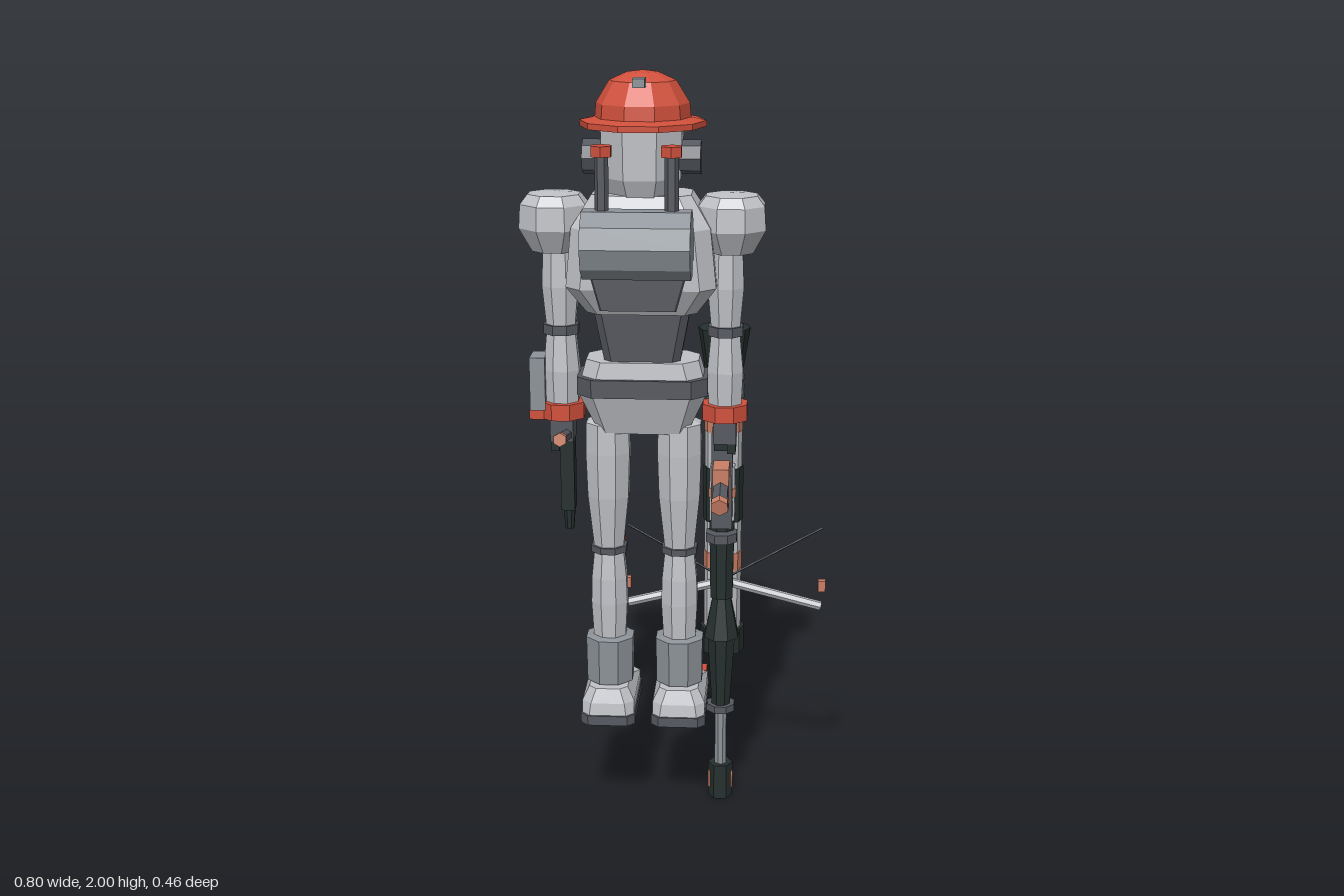
import * as THREE from 'three';

const mat = (name, color) => {
  const m = new THREE.MeshStandardMaterial({ color, flatShading: true });
  m.name = name;
  return m;
};

export function createModel() {
  const light = mat('lightGrey', 0xc0c2c7), grey = mat('midGrey', 0x8d9399), dark = mat('darkGrey', 0x565960);
  const red = mat('red', 0xd0503c), copper = mat('copper', 0xc97f66), black = mat('blackGreen', 0x25302e);
  const root = new THREE.Group();
  root.name = 'robotSoldier';
  const CX = -0.087, CZ = -0.045;

  const add = (name, geo, m, x = 0, y = 0, z = 0, parent = root) => {
    const mesh = new THREE.Mesh(geo, m);
    mesh.name = name;
    mesh.position.set(x, y, z);
    parent.add(mesh);
    return mesh;
  };
  const box = (name, m, w, h, d, x, y, z) => add(name, new THREE.BoxGeometry(w, h, d), m, x, y, z);
  // Upright faceted turning; profile is [radius, y] from bottom to top
  const turn = (name, m, pts, x, z, sides = 8, yaw = Math.PI / 8) => {
    const g = new THREE.LatheGeometry(pts.map(p => new THREE.Vector2(p[0], p[1])), sides);
    g.rotateY(yaw);
    return add(name, g, m, x, 0, z);
  };
  // Upright capped cylinder between two heights
  const post = (name, m, r0, r1, y0, y1, x, z, sides = 8) => {
    const g = new THREE.CylinderGeometry(r1, r0, y1 - y0, sides);
    g.rotateY(Math.PI / sides);
    return add(name, g, m, x, (y0 + y1) / 2, z);
  };
  // Bar between two points
  const bar = (name, m, a, b, r, sides = 6) => {
    const p = new THREE.Vector3(...a), q = new THREE.Vector3(...b), d = q.clone().sub(p);
    const mesh = add(name, new THREE.CylinderGeometry(r, r, d.length(), sides), m);
    mesh.position.copy(p).add(q).multiplyScalar(0.5);
    mesh.quaternion.setFromUnitVectors(new THREE.Vector3(0, 1, 0), d.normalize());
    return mesh;
  };
  // Stack of chamfered rectangles: [y, halfWidth, backZ, frontZ, chamfer]
  const loft = (name, m, rows, x = 0) => {
    const rings = rows.map(([y, w, z0, z1, c]) => [
      [w, z0 + c], [w, z1 - c], [w - c, z1], [c - w, z1], [-w, z1 - c], [-w, z0 + c], [c - w, z0], [w - c, z0],
    ].map(([px, pz]) => [px, y, pz]));
    const pos = [];
    const tri = (...v) => v.forEach(p => pos.push(...p));
    for (let r = 0; r < rings.length - 1; r++) for (let i = 0; i < 8; i++) {
      const j = (i + 1) % 8, lo = rings[r], hi = rings[r + 1];
      tri(lo[i], hi[i], lo[j]);
      tri(lo[j], hi[i], hi[j]);
    }
    const top = rings[rings.length - 1], bot = rings[0];
    for (let i = 1; i < 7; i++) {
      tri(top[0], top[i + 1], top[i]);
      tri(bot[0], bot[i], bot[i + 1]);
    }
    const g = new THREE.BufferGeometry();
    g.setAttribute('position', new THREE.Float32BufferAttribute(pos, 3));
    g.computeVertexNormals();
    return add(name, g, m, x);
  };

  // Helmet
  turn('helmetBrim', red, [[0, 1.865], [0.16, 1.862], [0.16, 1.877], [0.12, 1.885]], CX, -0.064, 10, Math.PI / 10 * 5);
  turn('helmetDome', red, [[0.122, 1.875], [0.118, 1.92], [0.084, 1.975], [0.04, 1.995], [0, 2]], CX, -0.064, 10, Math.PI / 2);
  for (const s of [-1, 1]) box('helmetClip', grey, 0.03, 0.022, 0.046, CX, 1.978, -0.046 + s * 0.092);

  // Head
  turn('head', light, [[0, 1.68], [0.085, 1.69], [0.107, 1.74], [0.11, 1.87], [0, 1.87]], CX, CZ);
  for (const s of [-1, 1]) {
    const x = CX + s * 0.122;
    bar('earPiece', dark, [x - 0.026, 1.79, -0.03], [x + 0.026, 1.79, -0.03], 0.043, 8);
  }
  bar('eyeHousing', dark, [CX, 1.792, -0.12], [CX, 1.792, -0.195], 0.052, 10);
  bar('eyeLens', copper, [CX, 1.792, -0.19], [CX, 1.792, -0.2], 0.038, 10);

  // Torso
  loft('chest', light, [[1.4, 0.14, -0.12, 0.035, 0.03], [1.47, 0.19, -0.155, 0.075, 0.04],
    [1.62, 0.175, -0.16, 0.075, 0.04], [1.7, 0.125, -0.125, 0.035, 0.03]], CX);
  loft('abdomen', dark, [[1.26, 0.095, -0.11, 0.02, 0.02], [1.42, 0.125, -0.125, 0.03, 0.02]], CX);
  loft('waist', light, [[1.2, 0.165, -0.13, 0.045, 0.04], [1.275, 0.145, -0.12, 0.035, 0.04]], CX);
  loft('belt', dark, [[1.185, 0.168, -0.137, 0.052, 0.04], [1.232, 0.168, -0.137, 0.052, 0.04]], CX);
  loft('pelvis', light, [[1.08, 0.115, -0.1, 0.01, 0.02], [1.187, 0.165, -0.13, 0.045, 0.04]], CX);
  box('beltBuckle', red, 0.06, 0.045, 0.02, CX, 1.21, -0.142);
  box('chestBadge', copper, 0.09, 0.035, 0.012, CX, 1.6, -0.162);

  // Striped chest guard
  box('chestGuard', dark, 0.34, 0.065, 0.025, CX, 1.508, -0.166);
  for (let i = 0; i < 8; i++) {
    const g = new THREE.BoxGeometry(0.022, 0.063, 0.008), p = g.attributes.position;
    for (let k = 0; k < p.count; k++) p.setX(k, p.getX(k) - p.getY(k) * 0.4);
    add('guardStripe', g, red, CX - 0.147 + i * 0.042, 1.508, -0.18);
  }

  // Backpack with two aerials
  bar('backpackTank', grey, [-0.22, 1.6, 0.147], [0.047, 1.6, 0.147], 0.087, 10);
  loft('backpackBase', dark, [[1.43, 0.095, 0.05, 0.13, 0.004], [1.52, 0.12, 0.05, 0.13, 0.004], [1.6, 0.12, 0.05, 0.13, 0.004]], CX);
  for (const s of [-1, 1]) {
    post('aerial', dark, 0.017, 0.017, 1.66, 1.82, CX + s * 0.085, 0.143, 6);
    post('aerialCap', red, 0.028, 0.028, 1.812, 1.838, CX + s * 0.085, 0.143, 6).rotation.y = Math.PI / 6;
  }

  for (const s of [-1, 1]) {
    // Arm
    const ax = CX + s * 0.225;
    turn('shoulder', light, [[0, 1.54], [0.06, 1.55], [0.094, 1.61], [0.09, 1.67], [0.07, 1.695], [0, 1.7]], ax, CZ);
    const bx = ax - s * 0.013;
    turn('upperArm', light, [[0, 1.35], [0.04, 1.355], [0.05, 1.46], [0.045, 1.57]], bx, CZ);
    post('elbow', dark, 0.048, 0.048, 1.335, 1.36, bx, CZ);
    turn('forearm', light, [[0, 1.14], [0.045, 1.145], [0.05, 1.24], [0.04, 1.34]], bx, CZ);
    post('cuff', red, 0.062, 0.062, 1.112, 1.155, bx, CZ);
    box('hand', dark, 0.06, 0.06, 0.08, bx, 1.082, CZ);
    for (let i = 0; i < 3; i++) box('finger', black, 0.022, 0.05, 0.02, bx + s * 0.018, 1.05, CZ - 0.025 + i * 0.026);

    // Leg
    const lx = CX + s * 0.094;
    turn('thigh', light, [[0, 0.75], [0.042, 0.755], [0.058, 0.9], [0.062, 1.02], [0.06, 1.1], [0, 1.13]], lx, CZ);
    post('knee', dark, 0.05, 0.05, 0.742, 0.76, lx, CZ);
    turn('shin', light, [[0.045, 0.48], [0.052, 0.6], [0.05, 0.67], [0.042, 0.745]], lx, CZ);
    box('kneePlate', red, 0.075, 0.11, 0.025, lx, 0.725, -0.105);
    turn('bootTop', grey, [[0, 0.37], [0.066, 0.375], [0.068, 0.5], [0.045, 0.505]], lx, CZ);
    post('ankle', light, 0.05, 0.045, 0.34, 0.38, lx, CZ);

    // Foot
    const fx = CX + s * 0.095;
    loft('sole', dark, [[0.275, 0.073, -0.222, 0.06, 0.02], [0.302, 0.073, -0.222, 0.06, 0.02]], fx);
    loft('foot', light, [[0.3, 0.07, -0.217, 0.055, 0.02], [0.335, 0.07, -0.21, 0.05, 0.025], [0.372, 0.052, -0.09, 0.035, 0.02]], fx);
    box('toeMark', red, 0.024, 0.04, 0.05, fx + s * 0.055, 0.322, -0.195);
  }

  // Forearm unit
  box('forearmUnit', grey, 0.04, 0.14, 0.08, -0.36, 1.205, CZ);
  box('forearmUnitCuff', red, 0.045, 0.03, 0.07, -0.36, 1.125, CZ);

  // Pistol, muzzle down
  box('pistolSlide', black, 0.036, 0.2, 0.05, -0.287, 0.96, -0.04);
  post('pistolMuzzle', black, 0.012, 0.018, 0.8, 0.87, -0.287, -0.05);
  bar('pistolGrip', dark, [-0.287, 1.065, -0.03], [-0.287, 1.095, 0.115], 0.016);
  bar('pistolGripEnd', copper, [-0.287, 1.093, 0.108], [-0.287, 1.097, 0.133], 0.018);

  // Launcher tube behind the rifle
  const TX = 0.118, TZ = -0.155;
  post('launcherTube', light, 0.05, 0.05, 0.45, 1.25, TX, TZ, 10);
  post('launcherBell', black, 0.05, 0.069, 1.21, 1.33, TX, TZ, 10);
  post('launcherCore', copper, 0.035, 0.035, 1.31, 1.335, TX, TZ, 10);
  for (const y of [1.14, 1.165, 1.19]) post('launcherRing', dark, 0.055, 0.055, y, y + 0.011, TX, TZ, 10);
  for (const y of [1.05, 0.66]) post('launcherBand', copper, 0.052, 0.052, y, y + 0.05, TX, TZ, 10);
  post('launcherSleeve', black, 0.054, 0.054, 0.8, 0.95, TX, TZ, 10);
  post('launcherBase', black, 0.06, 0.06, 0.42, 0.49, TX, TZ, 10);
  post('warhead', copper, 0.012, 0.04, 0.34, 0.42, TX, TZ, 8);

  // Rifle, muzzle down
  const RX = 0.118, RZ = -0.098;
  box('receiver', dark, 0.055, 0.26, 0.075, RX, 0.94, -0.07);
  box('receiverTop', black, 0.04, 0.05, 0.06, RX, 1.055, -0.05);
  box('gripBlock', copper, 0.042, 0.11, 0.095, RX, 0.945, 0.005);
  bar('rifleGrip', dark, [RX, 0.95, 0.03], [RX, 0.928, 0.115], 0.022);
  bar('rifleGripEnd', copper, [RX, 0.93, 0.11], [RX, 0.924, 0.133], 0.024);
  post('magazine', light, 0.036, 0.036, 0.82, 0.97, RX, -0.09);
  post('magazineBand', copper, 0.039, 0.039, 0.885, 0.91, RX, -0.09);
  post('handguard', black, 0.032, 0.036, 0.6, 0.82, RX, -0.085);
  post('handguardCollar', dark, 0.044, 0.044, 0.77, 0.795, RX, -0.06);
  post('barrelShroud', black, 0.05, 0.025, 0.48, 0.6, RX, -0.1);
  post('barrel', black, 0.026, 0.04, 0.27, 0.48, RX, RZ);
  post('barrelCollar', dark, 0.04, 0.04, 0.262, 0.282, RX, RZ);
  post('barrelRod', grey, 0.017, 0.017, 0.08, 0.27, RX, RZ);
  post('muzzle', black, 0.034, 0.034, 0, 0.1, RX, RZ, 6);
  for (const s of [-1, 1]) box('muzzlePort', copper, 0.008, 0.05, 0.018, RX + s * 0.03, 0.05, RZ);

  // Folding bipod legs, end pads and wires
  for (const s of [-1, 1]) {
    const x = d => 0.125 + s * d;
    bar('bipodLeg', light, [x(0.02), 0.632, -0.105], [x(0.262), 0.57, -0.105], 0.0125);
    box('bipodPad', copper, 0.02, 0.03, 0.02, x(0.263), 0.63, -0.103);
    bar('bipodWire', dark, [x(0.02), 0.655, -0.105], [x(0.262), 0.793, -0.105], 0.003, 4);
  }
  return root;
}
